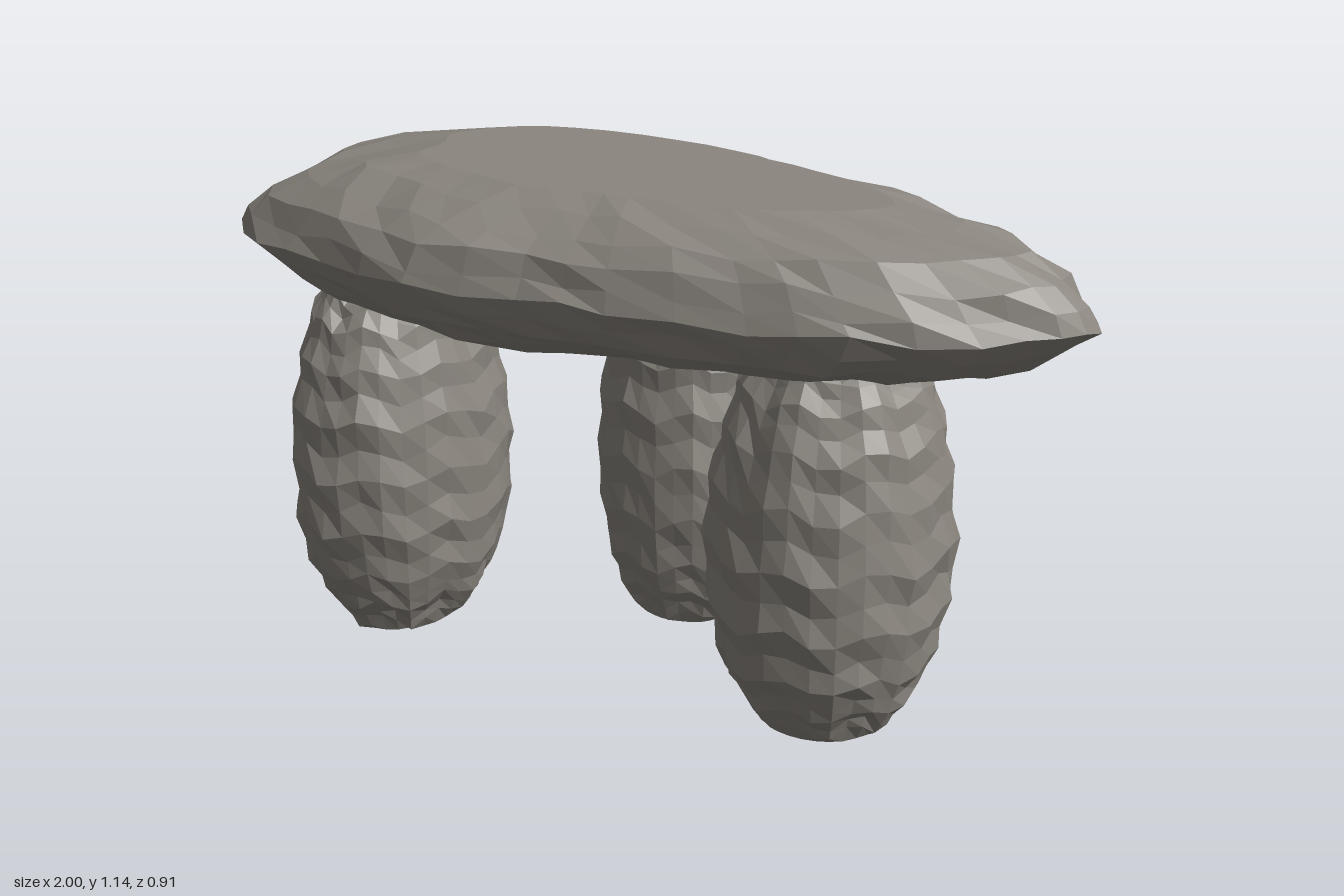
import * as THREE from 'three';

// Small seeded generator, values in -1..1
function seeded(seed) {
  let s = seed;
  return () => {
    s = (s * 16807) % 2147483647;
    return (s / 2147483647) * 2 - 1;
  };
}

// Skin closed rings of points from bottom to top, with flat caps and hard facets
function loft(rings) {
  const n = rings[0].length;
  const pos = [];
  const tri = (...points) => points.forEach((p) => pos.push(p.x, p.y, p.z));
  for (let i = 0; i < rings.length - 1; i++) {
    for (let j = 0; j < n; j++) {
      const k = (j + 1) % n;
      const a = rings[i][j], b = rings[i][k], c = rings[i + 1][j], d = rings[i + 1][k];
      tri(a, c, d);
      tri(a, d, b);
    }
  }
  const middle = (ring) =>
    ring.reduce((sum, p) => sum.add(p), new THREE.Vector3()).divideScalar(n);
  const low = rings[0], high = rings[rings.length - 1];
  const lowMid = middle(low), highMid = middle(high);
  for (let j = 0; j < n; j++) {
    const k = (j + 1) % n;
    tri(lowMid, low[j], low[k]);
    tri(highMid, high[k], high[j]);
  }
  const geometry = new THREE.BufferGeometry();
  geometry.setAttribute('position', new THREE.Float32BufferAttribute(pos, 3));
  geometry.computeVertexNormals();
  return geometry;
}

// Barrel-shaped upright stone with zigzag ripples and chipped sides
function uprightGeometry(x, z, rx, rz, height, seed) {
  const rnd = seeded(seed);
  const rows = 22, sides = 30;
  const profile = new THREE.CatmullRomCurve3(
    [[0.54, 0], [0.71, 0.08], [0.85, 0.17], [0.95, 0.32], [0.98, 0.47],
      [0.95, 0.61], [0.86, 0.76], [0.73, 0.88], [0.52, 0.97], [0.2, 1]]
      .map(([r, y]) => new THREE.Vector3(r, y, 0)));
  const rings = [];
  for (let i = 0; i <= rows; i++) {
    const p = profile.getPointAt(i / rows);
    const edge = i === 0 || i === rows;
    const ring = [];
    for (let j = 0; j < sides; j++) {
      const a = (j / sides) * Math.PI * 2;
      const ripple = edge ? 0 : (i % 2 ? 0.02 : -0.02);
      const r = p.x * (1 + ripple + 0.025 * rnd());
      const wave = edge ? 0 : 0.016 * Math.sin(a * 8 + seed) + 0.006 * rnd();
      ring.push(new THREE.Vector3(
        x + Math.cos(a) * rx * r,
        Math.max(0, p.y * height + wave),
        z + Math.sin(a) * rz * r));
    }
    rings.push(ring);
  }
  return loft(rings);
}

// Broad capstone: one plan outline scaled through a rounded section
function capstoneGeometry() {
  const rnd = seeded(91);
  const outline = new THREE.CatmullRomCurve3(
    [[-1, -0.1], [-0.8, -0.3], [-0.6, -0.385], [-0.3, -0.42], [0, -0.415], [0.3, -0.34],
      [0.55, -0.26], [0.78, -0.19], [0.92, -0.1], [1, 0.01], [0.95, 0.1], [0.83, 0.21],
      [0.6, 0.32], [0.4, 0.36], [0.1, 0.4], [-0.1, 0.415], [-0.35, 0.46], [-0.6, 0.4],
      [-0.82, 0.34], [-0.95, 0.23], [-0.96, 0.06]]
      .map(([x, z]) => new THREE.Vector3(x, 0, z)), true);
  const section = [[0.5, 0.782], [0.66, 0.8], [0.79, 0.827], [0.89, 0.862], [0.95, 0.905],
    [1, 0.95], [0.965, 0.99], [0.925, 1.035], [0.84, 1.077], [0.7, 1.112], [0.55, 1.138]];
  const count = 42;
  const rings = section.map(([s, y], i) => {
    const edge = i === 0 || i === section.length - 1;
    const ring = [];
    for (let j = 0; j < count; j++) {
      const p = outline.getPoint(j / count);
      const k = s * (s === 1 ? 1 : 1 + 0.018 * rnd());
      const lift = edge ? 0 : 0.011 * rnd();
      ring.push(new THREE.Vector3(p.x * k, y + lift, p.z * k));
    }
    return ring;
  });
  return loft(rings);
}

export function createModel() {
  const stone = new THREE.MeshStandardMaterial({ color: 0x8b867f });
  stone.name = 'weathered grey stone';
  const model = new THREE.Group();
  model.name = 'stoneDolmen';

  const add = (name, geometry) => {
    const mesh = new THREE.Mesh(geometry, stone);
    mesh.name = name;
    model.add(mesh);
  };

  // Three supporting stones
  add('rightUpright', uprightGeometry(-0.635, 0.082, 0.235, 0.298, 0.86, 17));
  add('backUpright', uprightGeometry(-0.05, -0.243, 0.218, 0.213, 0.86, 43));
  add('leftUpright', uprightGeometry(0.462, 0.075, 0.266, 0.287, 0.88, 71));

  // Flat-topped slab resting on them
  add('capstone', capstoneGeometry());
  return model;
}
